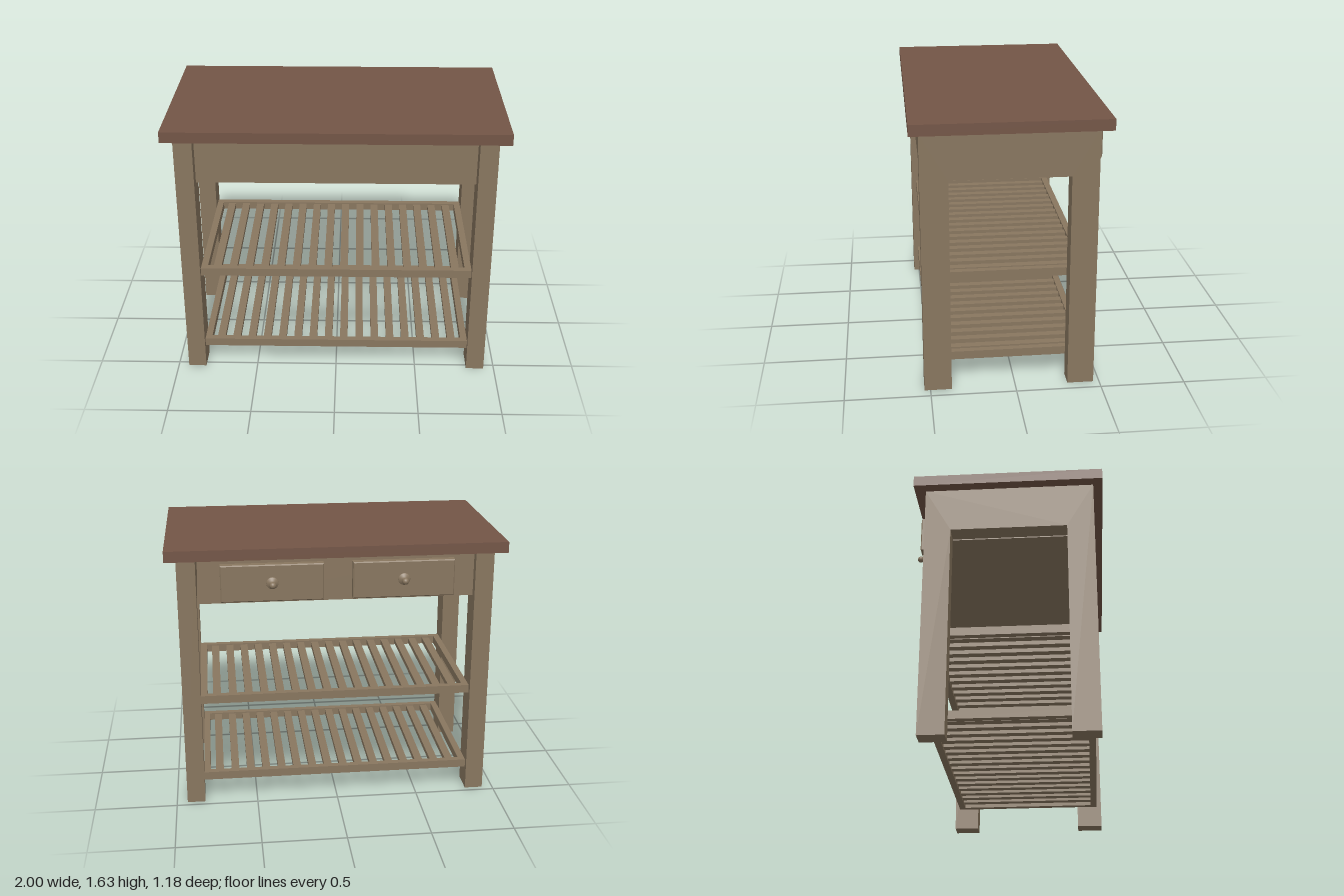
import * as THREE from 'three';

const wood = new THREE.MeshStandardMaterial({ color: 0x88765f });
const topWood = new THREE.MeshStandardMaterial({ color: 0x735546 });

// Box given by its min and max corners
function box(parent, name, [x0, y0, z0], [x1, y1, z1], material = wood) {
  const mesh = new THREE.Mesh(new THREE.BoxGeometry(x1 - x0, y1 - y0, z1 - z0), material);
  mesh.position.set((x0 + x1) / 2, (y0 + y1) / 2, (z0 + z1) / 2);
  mesh.name = name;
  parent.add(mesh);
  return mesh;
}

// Two legs joined by a side apron, cut as one flat piece
function makeSideFrame() {
  const outline = [
    [-0.535, 0], [-0.375, 0], [-0.375, 1.29], [0.31, 1.29],
    [0.31, 0], [0.465, 0], [0.465, 1.565], [-0.535, 1.565],
  ].map(([a, b]) => new THREE.Vector2(a, b));
  const geometry = new THREE.ExtrudeGeometry(new THREE.Shape(outline), { depth: 0.11, bevelEnabled: false });
  geometry.rotateY(Math.PI / 2); // shape x becomes -z, depth becomes +x
  return geometry;
}

// Open frame with slats running front to back
function makeShelf(y) {
  const shelf = new THREE.Group();
  shelf.name = 'slattedShelf';
  const h = 0.05, w = 0.04, x = 0.825, back = -0.435, front = 0.505;
  box(shelf, 'frontRail', [-x, 0, front - w], [x, h, front]);
  box(shelf, 'backRail', [-x, 0, back], [x, h, back + w]);
  for (const s of [-1, 1]) {
    box(shelf, 'endRail', [s * (x - w / 2) - w / 2, 0, back + w], [s * (x - w / 2) + w / 2, h, front - w]);
  }
  const count = 16, pitch = 0.097;
  for (let i = 0; i < count; i++) {
    const c = (i - (count - 1) / 2) * pitch;
    box(shelf, 'slat', [c - 0.024, 0.012, back + w], [c + 0.024, 0.042, front - w]);
  }
  shelf.position.y = y;
  return shelf;
}

// Drawer front with softened edges, backing panel and turned knob
function makeDrawer() {
  const drawer = new THREE.Group();
  drawer.name = 'drawer';
  box(drawer, 'drawerBacking', [-0.28, -0.09, -0.48], [0.28, 0.09, -0.45]);

  const b = 0.006, w = 0.3 - b, h = 0.11 - b;
  const face = new THREE.Shape([[-w, -h], [w, -h], [w, h], [-w, h]].map(([a, c]) => new THREE.Vector2(a, c)));
  const panel = new THREE.Mesh(
    new THREE.ExtrudeGeometry(face, { depth: 0.052 - 2 * b, bevelSize: b, bevelThickness: b, bevelSegments: 1 }),
    wood,
  );
  panel.position.z = -0.527 + b;
  panel.name = 'drawerFront';
  drawer.add(panel);

  const profile = [[0.036, 0], [0.034, 0.006], [0.02, 0.012], [0.011, 0.018], [0.01, 0.03]]
    .map(([r, y]) => new THREE.Vector2(r, y));
  for (let i = 0; i <= 8; i++) {
    const a = -Math.PI / 3 + (i / 8) * (Math.PI * 5 / 6);
    profile.push(new THREE.Vector2(Math.max(0, 0.02 * Math.cos(a)), 0.046 + 0.02 * Math.sin(a)));
  }
  const knob = new THREE.Mesh(new THREE.LatheGeometry(profile, 24), wood);
  knob.rotation.x = -Math.PI / 2;
  knob.position.z = -0.527;
  knob.name = 'knob';
  drawer.add(knob);
  return drawer;
}

export function createModel() {
  const table = new THREE.Group();
  table.name = 'kitchenTable';

  box(table, 'tableTop', [-1, 1.565, -0.53], [1, 1.63, 0.59], topWood);
  box(table, 'drawerCase', [-0.815, 1.29, -0.455], [0.815, 1.558, 0.525]);

  // Side frames
  const frameGeometry = makeSideFrame();
  for (const x of [-0.935, 0.825]) {
    const frame = new THREE.Mesh(frameGeometry, wood);
    frame.position.x = x;
    frame.name = 'sideFrame';
    table.add(frame);
  }

  // Shelves
  for (const y of [0.135, 0.648]) table.add(makeShelf(y));

  // Drawers
  for (const x of [-0.385, 0.385]) {
    const drawer = makeDrawer();
    drawer.position.set(x, 1.425, 0);
    table.add(drawer);
  }
  return table;
}
